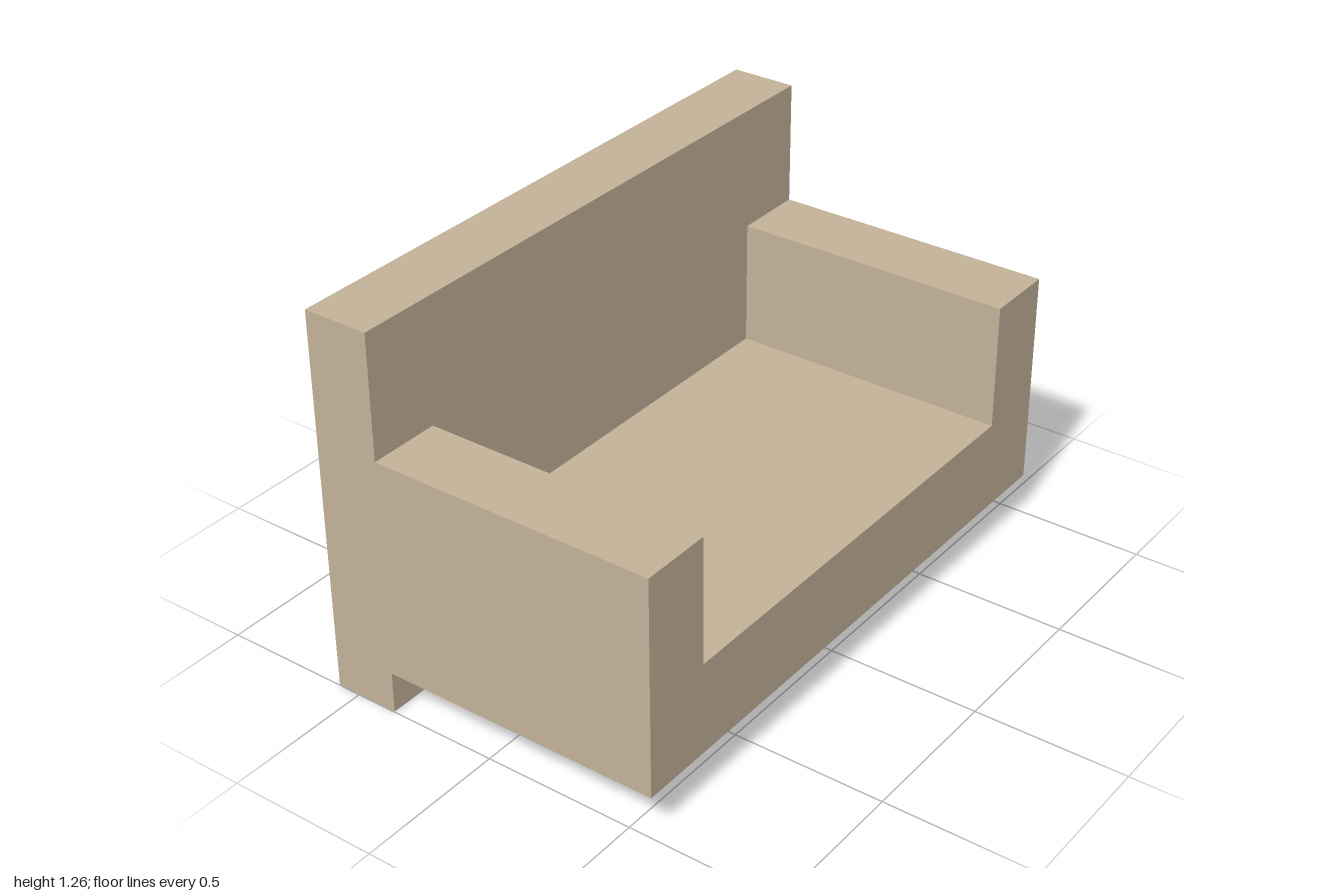
import * as THREE from 'three';

export function createModel() {
  const sofa = new THREE.Group();
  sofa.name = 'sofa';
  const fabric = new THREE.MeshStandardMaterial({ color: 0xc2b298 });
  const wood = new THREE.MeshStandardMaterial({ color: 0x6b6557 });

  const add = (name, geometry, material, x, y, z) => {
    const mesh = new THREE.Mesh(geometry, material);
    mesh.name = name;
    mesh.position.set(x, y, z);
    sofa.add(mesh);
  };

  const front = 0.577, backFront = -0.36, base = 0.14;
  const seatTop = 0.445, armTop = 0.86, armInner = 0.762;

  // Seat and both arms: one U-shaped section running front to back
  const section = new THREE.Shape([
    [-1, base], [1, base], [1, armTop], [armInner, armTop],
    [armInner, seatTop], [-armInner, seatTop], [-armInner, armTop], [-1, armTop],
  ].map(([x, y]) => new THREE.Vector2(x, y)));
  const body = new THREE.ExtrudeGeometry(section, { depth: front - backFront, bevelEnabled: false });
  add('seatAndArms', body, fabric, 0, 0, backFront);

  // Tall back panel, reaching almost to the floor
  const backBottom = 0.002, backTop = 1.265, backDepth = front + backFront;
  add('backrest', new THREE.BoxGeometry(2, backTop - backBottom, backDepth), fabric,
    0, (backTop + backBottom) / 2, backFront - backDepth / 2);

  // Tapered round legs; the rear pair is set into the back panel
  const leg = new THREE.CylinderGeometry(0.03, 0.04, base, 24);
  for (const [end, z] of [['front', 0.423], ['rear', -0.423]]) {
    for (const [side, x] of [['Left', 0.76], ['Right', -0.76]]) {
      add(`${end}${side}Leg`, leg, wood, x, base / 2, z);
    }
  }
  return sofa;
}
